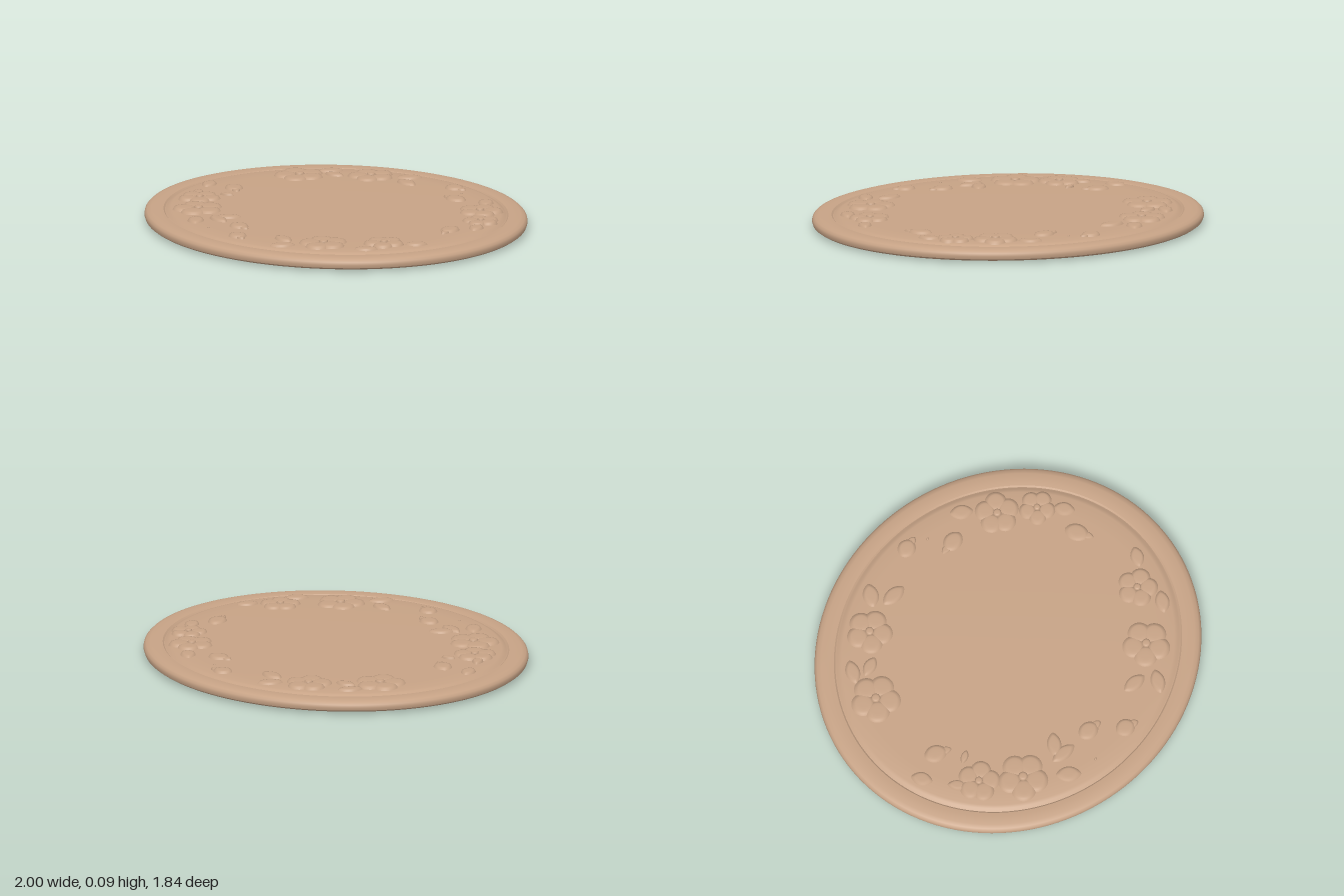
import * as THREE from 'three';
import { toCreasedNormals } from 'three/addons/utils/BufferGeometryUtils.js';

const DEPTH = 0.92; // the plaque is a slightly flattened oval

// Height of the gently domed panel at a given spot
const panelY = (x, z) => 0.08 - 0.009 * Math.min(1, (x * x + (z / DEPTH) ** 2) / 0.74);

// Soft raised relief over an outline; sharp = 0 is oval, 1 is pointed at both ends
function relief(length, width, height, sharp = 0) {
  const seg = 28, rings = 5, pos = [0, height, 0], idx = [];
  for (let r = 1; r <= rings; r++) {
    const k = r / rings;
    for (let i = 0; i < seg; i++) {
      const t = (i / seg) * Math.PI * 2;
      const taper = 1 - sharp * 0.85 * (1 - Math.abs(Math.sin(t)));
      pos.push(k * Math.cos(t) * length / 2,
        height * Math.sqrt(1 - k ** 4) - (r === rings ? 0.008 : 0),
        k * Math.sin(t) * width / 2 * taper);
      const a = 1 + (r - 1) * seg + i, b = 1 + (r - 1) * seg + (i + 1) % seg;
      if (r === 1) idx.push(0, b, a);
      else idx.push(a - seg, b, a, a - seg, b - seg, b);
    }
  }
  const g = new THREE.BufferGeometry();
  g.setAttribute('position', new THREE.Float32BufferAttribute(pos, 3));
  g.setIndex(idx);
  g.computeVertexNormals();
  return g;
}

export function createModel() {
  const model = new THREE.Group();
  const clay = new THREE.MeshStandardMaterial({ color: 0xc6a285 });
  clay.name = 'warm clay';

  const add = (parent, name, geo, x = 0, y = 0, z = 0, angle = 0) => {
    const m = new THREE.Mesh(geo, clay);
    m.name = name;
    m.position.set(x, y, z);
    m.rotation.y = angle;
    parent.add(m);
    return m;
  };
  const lathe = (name, pts) => {
    const g = new THREE.LatheGeometry(pts.map(p => new THREE.Vector2(...p)), 128);
    add(model, name, toCreasedNormals(g, 0.6)).scale.z = DEPTH;
  };

  // Rounded outer rim
  lathe('rim', [[0.88, 0.012], [0.89, 0.008], [0.96, 0.007], [0.982, 0.01], [0.995, 0.019],
    [1, 0.034], [0.997, 0.048], [0.986, 0.059], [0.965, 0.065], [0.92, 0.066],
    [0.9, 0.064], [0.892, 0.057]]);

  // Inner panel: flat underside, shallow groove at the rim, domed face
  const face = [];
  for (let i = 0; i <= 10; i++) {
    const r = 0.86 * (1 - i / 10);
    face.push([r, panelY(r, 0)]);
  }
  lathe('panel', [[0, 0], [0.86, 0], [0.875, 0.004], [0.885, 0.012]]);
  lathe('panelFace', [[0.893, 0.057], [0.885, 0.06], [0.876, 0.067], ...face]);

  // Five-petalled blossoms: x, z, radius, turn
  const flowers = [
    [-0.42, -0.55, 0.12, 0.3], [-0.65, -0.28, 0.13, 0.3], [0.47, -0.54, 0.115, 0.9],
    [0.63, -0.42, 0.095, 0.2], [0.68, 0.23, 0.105, 0.5], [0.5, 0.47, 0.125, 0.1],
    [-0.43, 0.53, 0.13, 0.2], [-0.6, 0.39, 0.11, 0.6],
  ];
  flowers.forEach(([x, z, r, turn]) => {
    const flower = new THREE.Group();
    flower.name = 'flower';
    flower.position.set(x, panelY(x, z), z);
    flower.rotation.y = turn;
    const petal = relief(r * 0.98, r * 1.02, 0.013);
    for (let i = 0; i < 5; i++) {
      const a = (i / 5) * Math.PI * 2;
      add(flower, 'petal', petal, Math.cos(a) * r * 0.53, 0, -Math.sin(a) * r * 0.53, a);
    }
    add(flower, 'flowerCentre', relief(r * 0.42, r * 0.42, 0.019));
    model.add(flower);
  });

  // Leaves: x, z, length, width, direction x, direction z
  const leaves = [
    [-0.28, -0.68, 0.14, 0.09, 0.6, -0.9], [-0.2, -0.6, 0.15, 0.085, 1, 0.05],
    [-0.63, -0.46, 0.14, 0.08, 0.5, -0.9], [-0.55, -0.42, 0.12, 0.07, 1, -0.3],
    [0.35, -0.67, 0.13, 0.085, 1, 0.8], [0.72, -0.32, 0.12, 0.08, 0.7, 1],
    [0.795, 0.115, 0.12, 0.075, 0.6, -1], [0.715, 0.37, 0.13, 0.08, 0.7, -1],
    [0.31, 0.575, 0.14, 0.08, 1, 0.1], [0.4, 0.65, 0.14, 0.08, 0.6, -1],
    [-0.79, 0.18, 0.12, 0.08, 0.6, 1], [-0.56, 0.25, 0.08, 0.04, 1, -0.5],
    [-0.69, 0.33, 0.11, 0.06, 0.8, 1], [-0.2, 0.52, 0.14, 0.08, 0.8, -1],
    [-0.2, 0.585, 0.15, 0.075, 1, 0.1], [-0.26, 0.68, 0.14, 0.09, 0.9, 0.8],
  ];
  leaves.forEach(([x, z, l, w, dx, dz]) =>
    add(model, 'leaf', relief(l, w, 0.011, 0.6), x, panelY(x, z), z, Math.atan2(-dz, dx)));

  // Closed buds: a plump body with a small pointed tip
  const buds = [
    [0.03, -0.73, 0.13, 0.1, 1, -0.2], [0.2, -0.59, 0.15, 0.1, -1, 0.1],
    [0.68, -0.18, 0.16, 0.1, 0.5, 1], [-0.64, 0.14, 0.15, 0.1, 1, 0.5],
    [-0.02, 0.59, 0.14, 0.1, 1, 0.1], [0.12, 0.71, 0.13, 0.1, 1, 0.3],
  ];
  buds.forEach(([x, z, l, w, dx, dz]) => {
    const bud = new THREE.Group();
    bud.name = 'bud';
    bud.position.set(x, panelY(x, z), z);
    bud.rotation.y = Math.atan2(-dz, dx);
    add(bud, 'budBody', relief(l * 0.85, w, 0.012, 0.25), -l * 0.06);
    add(bud, 'budTip', relief(l * 0.5, w * 0.45, 0.009, 0.5), l * 0.27);
    model.add(bud);
  });

  // Tiny loose specks
  [[-0.11, 0.72], [0.13, -0.69]].forEach(([x, z]) =>
    add(model, 'speck', relief(0.018, 0.014, 0.005), x, panelY(x, z), z));

  return model;
}
